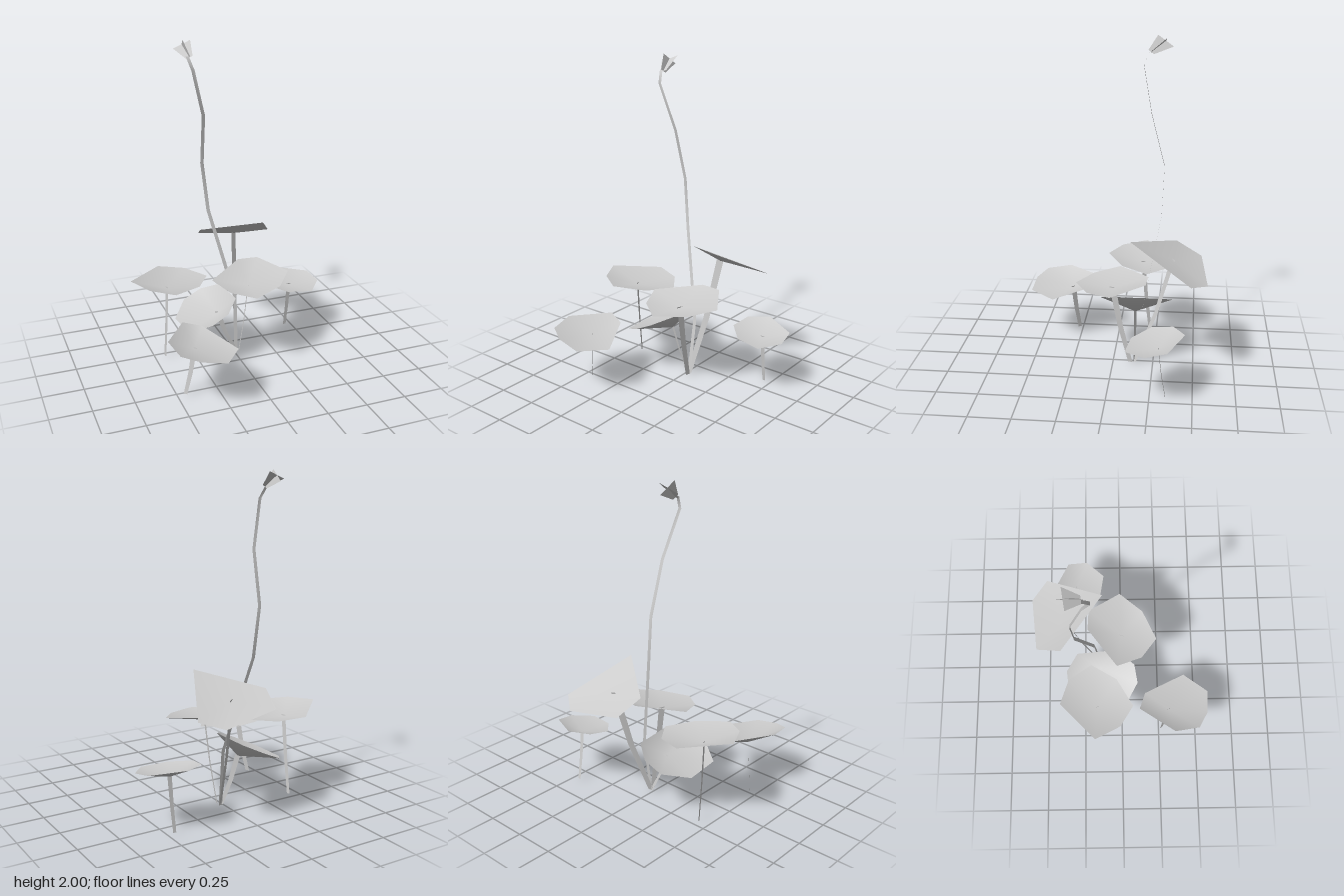
import * as THREE from 'three';

const material = new THREE.MeshStandardMaterial({ color: 0xcccccc, side: THREE.DoubleSide });

function surface(name, points, index) {
  const geometry = new THREE.BufferGeometry().setFromPoints(points);
  geometry.setIndex(index);
  geometry.computeVertexNormals();
  const mesh = new THREE.Mesh(geometry, material);
  mesh.name = name;
  return mesh;
}

// Flat ribbon along a path, widened along a horizontal direction given as an angle
function ribbon(name, path, angle, startWidth, endWidth) {
  const side = new THREE.Vector3(Math.cos(angle), 0, Math.sin(angle));
  const points = [], index = [];
  path.forEach((p, i) => {
    const half = THREE.MathUtils.lerp(startWidth, endWidth, i / (path.length - 1)) / 2;
    points.push(p.clone().addScaledVector(side, -half), p.clone().addScaledVector(side, half));
    if (i > 0) {
      const a = 2 * i - 2;
      index.push(a, a + 1, a + 2, a + 1, a + 3, a + 2);
    }
  });
  return surface(name, points, index);
}

// Cupped leaf: its rim (x, z corners) lies on the tilted plane y = height + slopeX * x + slopeZ * z
// and fans out from a lower centre, where a slightly bent ribbon stem meets it
function leaf(name, { centre, root, height, slopeX = 0, slopeZ = 0, angle, width, rim }) {
  const group = new THREE.Group();
  group.name = name;

  const top = new THREE.Vector3(...centre);
  const corners = rim.map(([x, z]) => new THREE.Vector3(x, height + slopeX * x + slopeZ * z, z));
  const index = corners.flatMap((_, i) => [0, ((i + 1) % corners.length) + 1, i + 1]);

  const foot = new THREE.Vector3(root[0], 0.005, root[1]);
  const bend = foot.clone().lerp(top, 0.57).setY(top.y / 2);
  const tip = top.clone().setY(top.y + 0.008);

  group.add(
    surface('leafBlade', [top, ...corners], index),
    ribbon('leafStem', [foot, bend, tip], angle, width * 0.7, width),
  );
  return group;
}

// Tall bending stem with two crossed petal cards that widen towards the tip
function flower() {
  const group = new THREE.Group();
  group.name = 'flower';

  const path = [
    [0.02, 0, -0.135], [0.03, 0.36, -0.18], [-0.108, 0.93, -0.285], [-0.14, 1.235, -0.297],
    [-0.153, 1.55, -0.215], [-0.23, 1.835, -0.16], [-0.25, 1.91, -0.2],
  ].map((p) => new THREE.Vector3(...p));
  group.add(ribbon('flowerStem', path, 0, 0.024, 0.02));

  const base = new THREE.Vector3(-0.236, 1.902, -0.202);
  const tip = new THREE.Vector3(-0.256, 1.967, -0.288);
  const spreads = [new THREE.Vector3(0.055, 0.021, -0.008), new THREE.Vector3(-0.008, 0.033, 0.047)];
  for (const spread of spreads) {
    const corners = [[base, -0.36], [base, 0.36], [tip, 1], [tip, -1]]
      .map(([p, scale]) => p.clone().addScaledVector(spread, scale));
    group.add(surface('petalCard', corners, [0, 1, 2, 0, 2, 3]));
  }
  return group;
}

export function createModel() {
  const model = new THREE.Group();
  model.name = 'waterPlant';

  model.add(leaf('tallBackLeaf', {
    centre: [0.09, 0.72, -0.365], root: [0.02, -0.135],
    height: 0.943, slopeX: -0.1, slopeZ: -0.5 * -1, angle: -0.56, width: 0.045,
    rim: [[-0.095, -0.535], [0.257, -0.572], [0.378, -0.476], [0.195, -0.117], [-0.133, -0.379]],
  }));

  model.add(leaf('centreLeaf', {
    centre: [0.05, 0.51, 0], root: [0.03, -0.11],
    height: 0.563, slopeZ: -0.16, angle: -1.27, width: 0.043,
    rim: [[-0.174, -0.03], [0.065, -0.217], [0.193, -0.21], [0.322, -0.007],
      [0.205, 0.141], [0.02, 0.228], [-0.112, 0.13]],
  }));

  model.add(leaf('largeRightLeaf', {
    centre: [-0.425, 0.5, -0.16], root: [-0.435, -0.21],
    height: 0.511, slopeX: -0.1, angle: 1.21, width: 0.028,
    rim: [[-0.647, -0.172], [-0.416, -0.393], [-0.255, -0.34], [-0.153, -0.196],
      [-0.253, -0.034], [-0.433, 0.069], [-0.567, -0.014]],
  }));

  model.add(leaf('tiltedLeaf', {
    centre: [-0.107, 0.29, -0.13], root: [0.015, -0.135],
    height: 0.43, slopeX: 0.46, angle: 0.44, width: 0.034,
    rim: [[-0.365, -0.2], [-0.26, -0.35], [-0.145, -0.362], [-0.04, -0.29],
      [-0.02, -0.03], [-0.11, 0.085], [-0.22, 0.105], [-0.345, 0.03]],
  }));

  model.add(leaf('frontRightLeaf', {
    centre: [-0.4, 0.315, 0.305], root: [-0.45, 0.27],
    height: 0.321, slopeX: -0.2, slopeZ: -0.08, angle: 0.93, width: 0.036,
    rim: [[-0.412, 0.114], [-0.302, 0.152], [-0.167, 0.41], [-0.285, 0.565],
      [-0.436, 0.555], [-0.54, 0.497], [-0.567, 0.341]],
  }));

  model.add(leaf('leftLeaf', {
    centre: [0.46, 0.322, -0.3], root: [0.455, -0.345],
    height: 0.337, slopeX: -0.03, slopeZ: -0.16, angle: 0, width: 0.028,
    rim: [[0.278, -0.25], [0.3, -0.38], [0.42, -0.45], [0.62, -0.355],
      [0.64, -0.23], [0.545, -0.115], [0.385, -0.14]],
  }));

  model.add(flower());
  return model;
}
